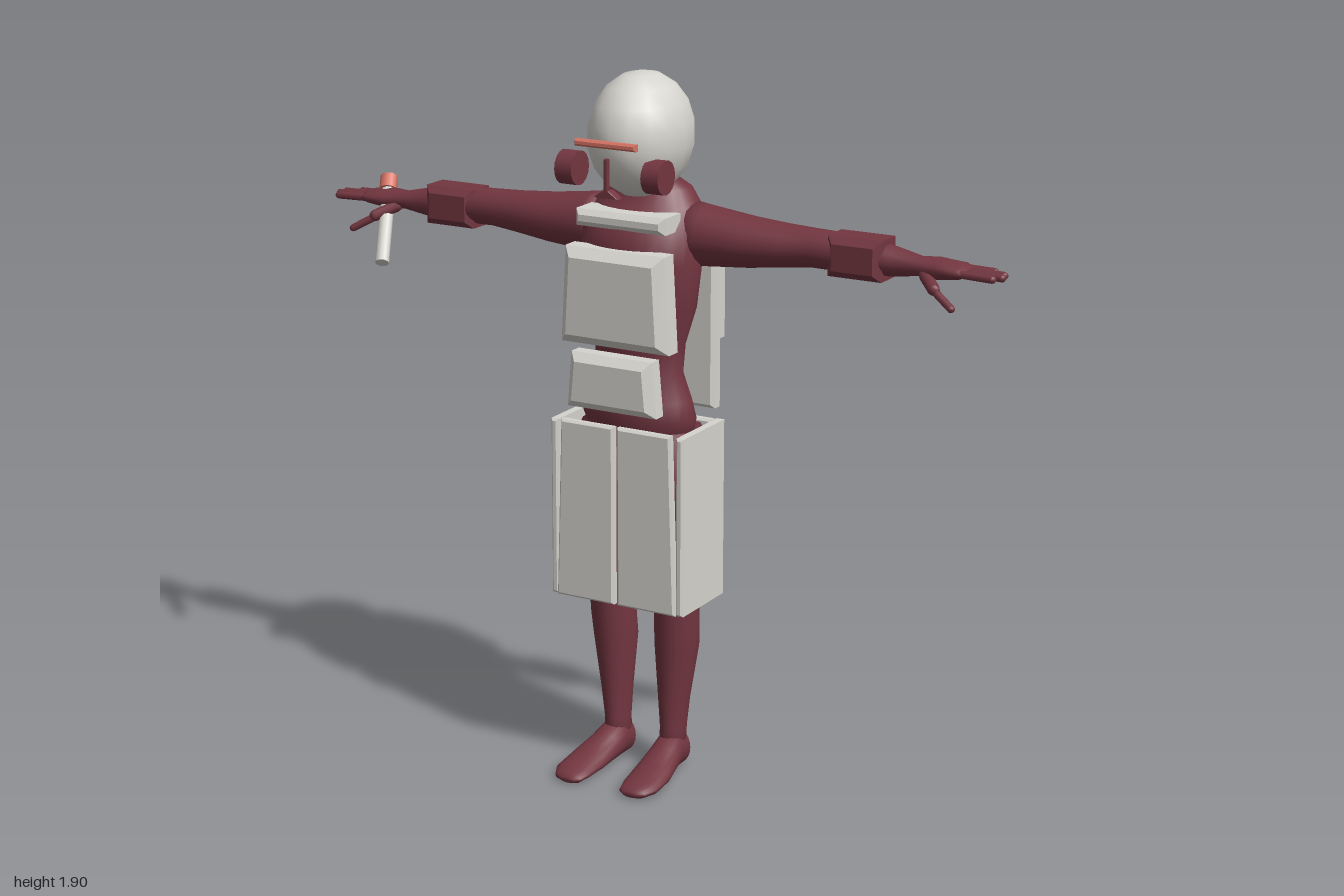
import * as THREE from 'three';

export function createModel() {
  const model = new THREE.Group();
  const material = (name, color) => {
    const m = new THREE.MeshStandardMaterial({ color });
    m.name = name;
    return m;
  };
  const armour = material('pale armour', 0xd6d4ce);
  const suit = material('maroon suit', 0x733640);
  const accent = material('salmon accent', 0xd87464);

  const add = (name, geometry, mat, x = 0, y = 0, z = 0) => {
    const mesh = new THREE.Mesh(geometry, mat);
    mesh.name = name;
    mesh.position.set(x, y, z);
    model.add(mesh);
    return mesh;
  };

  // Smooth body part from elliptical rings [d, centreA, centreB, radiusA, radiusB].
  // Along y: a = z, b = x.  Along x: a = y, b = z.  Along z: a = x, b = y.
  function loft(name, axis, rings, segments = 20) {
    const positions = [], index = [];
    const put = (a, b, d) => positions.push(...(axis === 'y' ? [b, d, a] : axis === 'x' ? [d, a, b] : [a, b, d]));
    for (const [d, ca, cb, ra, rb] of rings) {
      for (let j = 0; j < segments; j++) {
        const t = (j / segments) * Math.PI * 2;
        put(ca + ra * Math.cos(t), cb + rb * Math.sin(t), d);
      }
    }
    const first = rings[0], last = rings[rings.length - 1];
    put(first[1], first[2], first[0]);
    put(last[1], last[2], last[0]);
    const n = rings.length * segments;
    for (let j = 0; j < segments; j++) {
      const k = (j + 1) % segments;
      for (let i = 0; i < rings.length - 1; i++) {
        const p = i * segments, q = p + segments;
        index.push(p + j, p + k, q + k, p + j, q + k, q + j);
      }
      index.push(n, k, j, n + 1, n - segments + j, n - segments + k);
    }
    const g = new THREE.BufferGeometry();
    g.setAttribute('position', new THREE.Float32BufferAttribute(positions, 3));
    g.setIndex(index);
    g.computeVertexNormals();
    return add(name, g, suit);
  }

  // Chamfered plate given by its bounds; the top may be narrower than the bottom.
  function plate(name, x0, x1, y0, y1, z0, z1, bevel, mat = armour, tl = 0, tr = 0) {
    const s = new THREE.Shape();
    s.moveTo(x0 + bevel, y0 + bevel);
    s.lineTo(x1 - bevel, y0 + bevel);
    s.lineTo(x1 - bevel - tr, y1 - bevel);
    s.lineTo(x0 + bevel + tl, y1 - bevel);
    s.closePath();
    const g = new THREE.ExtrudeGeometry(s, {
      depth: z1 - z0 - 2 * bevel, bevelEnabled: true, bevelSegments: 1, bevelSize: bevel, bevelThickness: bevel,
    });
    return add(name, g, mat, 0, 0, z0 + bevel);
  }

  // Straight rod or capsule between two points
  function rod(name, from, to, r, mat, round = false, sides = 10) {
    const a = new THREE.Vector3(...from), b = new THREE.Vector3(...to), dir = b.clone().sub(a);
    const len = dir.length();
    const g = round ? new THREE.CapsuleGeometry(r, len - 2 * r, 3, sides) : new THREE.CylinderGeometry(r, r, len, sides);
    const mesh = add(name, g, mat, ...a.add(b).multiplyScalar(0.5).toArray());
    mesh.quaternion.setFromUnitVectors(new THREE.Vector3(0, 1, 0), dir.normalize());
  }

  // Torso, from hips to neck
  loft('torso', 'y', [
    [0.92, 0, 0, 0.09, 0.14], [1.0, 0.015, 0, 0.1, 0.163], [1.05, 0.015, 0, 0.09, 0.15],
    [1.12, 0.015, 0, 0.075, 0.125], [1.2, 0.012, 0, 0.08, 0.13], [1.3, 0.01, 0, 0.1, 0.16],
    [1.42, 0.008, 0, 0.118, 0.172], [1.5, -0.005, 0, 0.127, 0.165], [1.56, -0.035, 0, 0.1, 0.145],
    [1.6, -0.045, 0, 0.08, 0.115], [1.64, -0.02, 0, 0.06, 0.065], [1.7, -0.01, 0, 0.055, 0.06],
  ], 28);

  // Limbs, both sides
  for (const s of [1, -1]) {
    const side = s > 0 ? 'left' : 'right';
    const arm = [
      [0.1, 1.485, -0.04, 0.09, 0.085], [0.17, 1.485, -0.04, 0.08, 0.08], [0.3, 1.482, -0.042, 0.066, 0.075],
      [0.4, 1.484, -0.045, 0.056, 0.063], [0.48, 1.487, -0.045, 0.05, 0.052], [0.6, 1.484, -0.047, 0.049, 0.052],
      [0.7, 1.478, -0.047, 0.038, 0.04], [0.77, 1.475, -0.048, 0.025, 0.03], [0.82, 1.475, -0.047, 0.028, 0.043],
      [0.88, 1.475, -0.05, 0.02, 0.048], [0.9, 1.475, -0.05, 0.01, 0.042],
    ].map(([x, ...rest]) => [s * x, ...rest]);
    loft(side + 'Arm', 'x', s > 0 ? arm : arm.reverse());

    // Forearm cuff box
    const cuff = [s * 0.53, s * 0.68].sort((a, b) => a - b);
    plate(side + 'ForearmCuff', cuff[0], cuff[1], 1.428, 1.533, -0.105, 0.007, 0.018, suit);

    // Fingers and thumb
    [[-0.09, 0.96], [-0.065, 0.995], [-0.04, 1], [-0.014, 0.985]].forEach(([z, tip], i) =>
      rod(side + 'Finger' + (i + 1), [s * 0.86, 1.475, z * 0.9 - 0.005], [s * tip, 1.472, z], 0.0105, suit, true, 8));
    rod(side + 'ThumbBase', [s * 0.78, 1.465, -0.035], [s * 0.845, 1.43, 0.025], 0.016, suit, true, 8);
    rod(side + 'ThumbTip', [s * 0.83, 1.435, 0.012], [s * 0.9, 1.395, 0.042], 0.0105, suit, true, 8);

    // Leg
    loft(side + 'Leg', 'y', [
      [0.05, -0.015, 0.085, 0.045, 0.034], [0.12, -0.018, 0.087, 0.046, 0.033], [0.2, -0.018, 0.089, 0.052, 0.04],
      [0.35, -0.022, 0.095, 0.068, 0.057], [0.42, -0.015, 0.098, 0.068, 0.059], [0.5, -0.008, 0.1, 0.07, 0.057],
      [0.6, 0, 0.1, 0.08, 0.07], [0.8, 0.005, 0.095, 0.095, 0.08], [0.97, 0.005, 0.085, 0.1, 0.08],
    ].map(([y, z, x, rz, rx]) => [y, z, s * x, rz, rx]));

    // Foot
    loft(side + 'Foot', 'z', [
      [-0.07, 0.085, 0.035, 0.02, 0.024], [-0.05, 0.086, 0.05, 0.036, 0.049], [0, 0.087, 0.057, 0.04, 0.056],
      [0.05, 0.092, 0.044, 0.047, 0.043], [0.12, 0.1, 0.03, 0.055, 0.029], [0.19, 0.104, 0.021, 0.053, 0.02],
      [0.225, 0.1, 0.016, 0.04, 0.014], [0.235, 0.097, 0.014, 0.022, 0.008],
    ].map(([z, x, ...rest]) => [z, s * x, ...rest]));

    // Skirt panels: front, side and back
    const outer = s > 0 ? [0.005, 0.18] : [-0.18, -0.005];
    const taper = s > 0 ? [0, 0.015] : [0.015, 0];
    plate(side + 'FrontSkirtPanel', ...outer, 0.5, 0.99, 0.12, 0.145, 0.006, armour, ...taper);
    plate(side + 'BackSkirtPanel', ...outer, 0.485, 0.98, -0.1, -0.075, 0.006, armour, ...taper);
    const edge = s > 0 ? [0.178, 0.2] : [-0.2, -0.178];
    plate(side + 'SideSkirtPanel', ...edge, 0.5, 0.985, -0.09, 0.138, 0.006);
  }

  // Torso armour
  plate('chestPlate', -0.16, 0.16, 1.203, 1.46, 0.07, 0.167, 0.026, armour, 0.012, 0.012);
  plate('bellyPlate', -0.132, 0.132, 1.035, 1.185, 0.1, 0.18, 0.022, armour, 0.01, 0.01);
  plate('collarPlate', -0.132, 0.132, 1.508, 1.553, 0.02, 0.125, 0.014);
  plate('backPlate', -0.18, 0.18, 1.015, 1.47, -0.105, -0.06, 0.01);
  plate('backpackMount', -0.115, 0.115, 1.175, 1.5, -0.148, -0.1, 0.006, suit);
  plate('backpack', -0.126, 0.126, 1.17, 1.475, -0.232, -0.145, 0.014);

  // Helmet with visor strip, nose piece and side discs
  add('helmet', new THREE.SphereGeometry(1, 16, 9), armour, 0, 1.742, 0.005).scale.set(0.132, 0.164, 0.165);
  plate('visorStrip', -0.09, 0.09, 1.732, 1.75, 0.172, 0.192, 0.005, accent);
  plate('noseBar', -0.006, 0.006, 1.62, 1.705, 0.172, 0.187, 0.002, suit);
  plate('mouthPiece', -0.035, 0.035, 1.603, 1.625, 0.16, 0.187, 0.003, suit, 0.024, 0.024);
  for (const [name, x] of [['rightEarDisc', -0.152], ['leftEarDisc', 0.103]]) {
    const disc = new THREE.CylinderGeometry(0.045, 0.045, 0.05, 16).rotateZ(Math.PI / 2);
    add(name, disc, suit, x, 1.655, 0.1);
  }

  // Handle held in the right hand, with a coloured tip
  rod('handle', [-0.84, 1.5, -0.06], [-0.768, 1.325, 0.082], 0.019, armour);
  rod('handleTip', [-0.85, 1.525, -0.078], [-0.838, 1.495, -0.054], 0.024, accent);

  return model;
}
